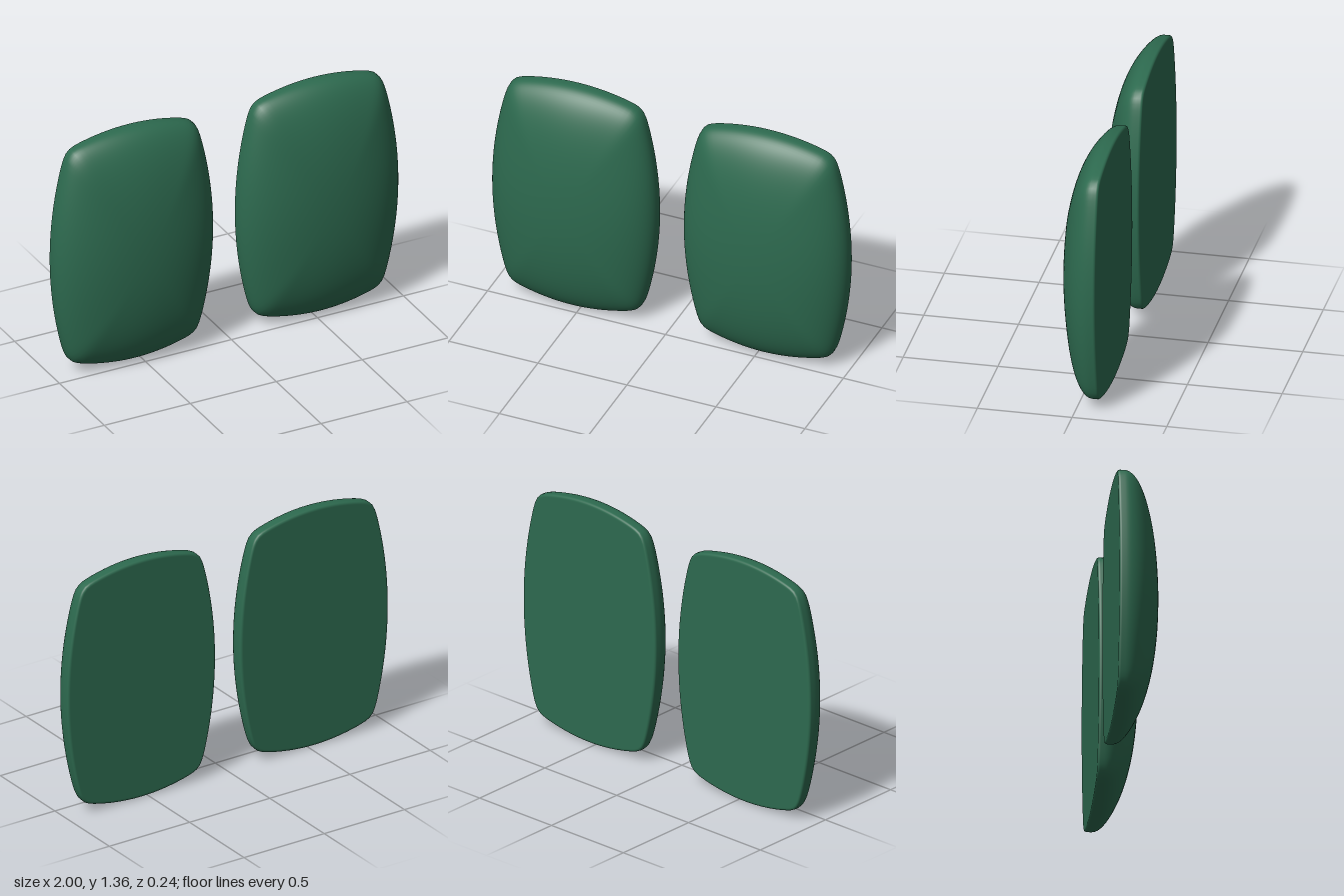
import * as THREE from 'three';

const HALF_W = 0.4615, HALF_H = 0.68, CENTRE_X = 0.5385;
const SEGMENTS = 160;

// Barrel-sided rounded rectangle: distance from centre to rim at an angle
function rimRadius(a) {
  const c = Math.abs(Math.cos(a)), s = Math.abs(Math.sin(a));
  let lo = 0, hi = 1;
  for (let i = 0; i < 30; i++) {
    const r = (lo + hi) / 2, x = r * c, y = r * s;
    const u = (x + 0.24 * y * y) / HALF_W, v = (y + 0.45 * x * x) / HALF_H;
    if (u ** 28 + v ** 28 > 1) hi = r; else lo = r;
  }
  return lo;
}

// Cross-section from the front centre to the back centre: [scale, inset, z]
function crossSection() {
  const rows = [];
  const steps = 32, e = 2 / 2.1;
  for (let i = 0; i <= steps; i++) {
    const p = (i / steps) * Math.PI / 2;
    const t = i === steps ? 1 : Math.sin(p) ** e;
    const h = i === steps ? 0 : Math.cos(p) ** e;
    rows.push([t, 0, -0.085 + 0.205 * h]);
  }
  // small rounded edge onto the flat back
  const r = 0.014;
  for (let i = 0; i <= 5; i++) {
    const p = (i / 5) * Math.PI / 2;
    rows.push([1, r * (1 - Math.cos(p)), -0.12 + r * (1 - Math.sin(p))]);
  }
  rows.push([1, r + 0.004, -0.12], [0, 0, -0.12]);
  return rows;
}

function cushionGeometry() {
  const rows = crossSection(), pos = [], index = [];
  const rim = Array.from({ length: SEGMENTS }, (_, j) => rimRadius((j / SEGMENTS) * Math.PI * 2));
  for (const [t, inset, z] of rows) {
    for (let j = 0; j < SEGMENTS; j++) {
      const a = (j / SEGMENTS) * Math.PI * 2, c = Math.cos(a), s = Math.sin(a);
      // rings grow from an ellipse at the crown to the full outline at the rim
      const oval = 1 / Math.hypot(c / HALF_W, s / HALF_H);
      const r = t * THREE.MathUtils.lerp(oval, rim[j], t * t) - inset;
      pos.push(r * c, r * s, z);
    }
  }
  const last = rows.length - 1;
  for (let i = 0; i < last; i++) {
    for (let j = 0; j < SEGMENTS; j++) {
      const k = (j + 1) % SEGMENTS;
      const a = i * SEGMENTS + j, b = i * SEGMENTS + k;
      const d = a + SEGMENTS, e = b + SEGMENTS;
      if (i < last - 1) index.push(a, d, e);
      else index.push(a, d, b);
      if (i > 0 && i < last - 1) index.push(a, e, b);
    }
  }
  const geo = new THREE.BufferGeometry();
  geo.setAttribute('position', new THREE.Float32BufferAttribute(pos, 3));
  geo.setIndex(index);
  geo.computeVertexNormals();
  // share one normal across each pole
  const n = geo.attributes.normal;
  for (let j = 0; j < SEGMENTS; j++) {
    n.setXYZ(j, 0, 0, 1);
    n.setXYZ(last * SEGMENTS + j, 0, 0, -1);
  }
  return geo;
}

export function createModel() {
  const group = new THREE.Group();
  group.name = 'cushionPair';
  const geo = cushionGeometry();
  const mat = new THREE.MeshStandardMaterial({ color: 0x2d6a4f });
  for (const [name, side] of [['leftCushion', 1], ['rightCushion', -1]]) {
    const cushion = new THREE.Mesh(geo, mat);
    cushion.name = name;
    cushion.position.set(side * CENTRE_X, HALF_H, 0);
    group.add(cushion);
  }
  return group;
}
